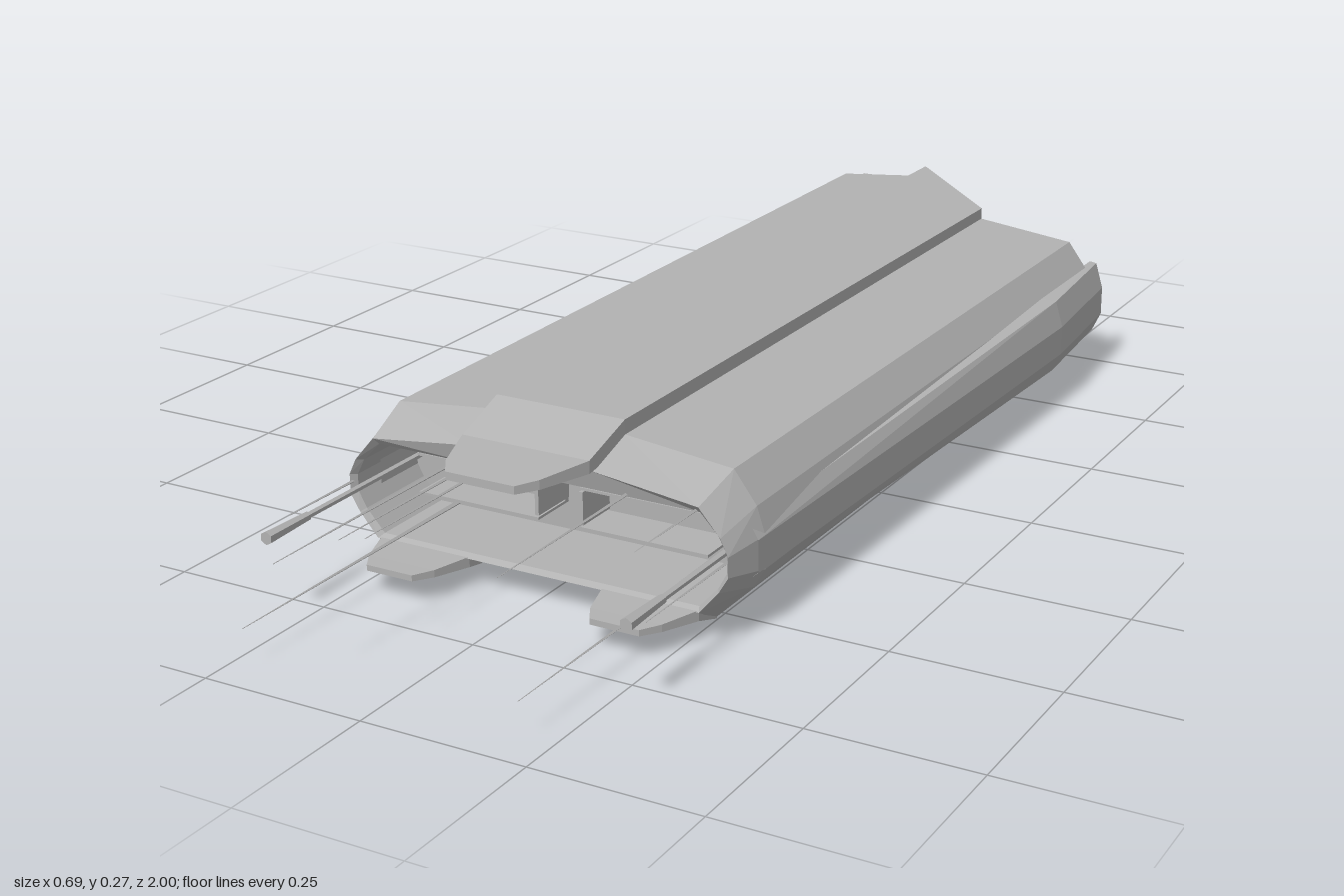
import * as THREE from 'three';

const grey = new THREE.MeshStandardMaterial({ color: 0xb2b2b2, side: THREE.DoubleSide, flatShading: true });
grey.name = 'hull grey';

// Joins cross-sections (lists of [x, y, z]) into a skin
function loft(sections, { closed = true, capStart = false, capEnd = false } = {}) {
  const pos = [];
  const n = sections[0].length;
  for (let s = 0; s < sections.length - 1; s++) {
    for (let i = 0; i < (closed ? n : n - 1); i++) {
      const j = (i + 1) % n;
      const a = sections[s][i], b = sections[s][j], c = sections[s + 1][j], d = sections[s + 1][i];
      pos.push(...a, ...d, ...c, ...a, ...c, ...b);
    }
  }
  const cap = (ring, flip) => {
    for (let i = 1; i < n - 1; i++) {
      pos.push(...ring[0], ...(flip ? ring[i + 1] : ring[i]), ...(flip ? ring[i] : ring[i + 1]));
    }
  };
  if (capStart) cap(sections[0], false);
  if (capEnd) cap(sections[sections.length - 1], true);
  const geo = new THREE.BufferGeometry();
  geo.setAttribute('position', new THREE.Float32BufferAttribute(pos, 3));
  geo.computeVertexNormals();
  return geo;
}

// Stern edge: long on the -x side, slanted under the spine, short on the +x side
const sternZ = (x) => THREE.MathUtils.lerp(-0.93, -0.7, THREE.MathUtils.clamp((x + 0.11) / 0.22, 0, 1));

// Full anticlockwise ring from the +x half, listed bottom to top
function ring(half, z) {
  const at = ([x, y]) => [x, y, typeof z === 'function' ? z(x) : z];
  return [...half.map(at), ...half.map(([x, y]) => at([-x, y])).reverse()];
}

export function createModel() {
  const model = new THREE.Group();
  const add = (name, geo, x = 0, y = 0, z = 0) => {
    const mesh = new THREE.Mesh(geo, grey);
    mesh.name = name;
    mesh.position.set(x, y, z);
    model.add(mesh);
    return mesh;
  };
  // Box given by its limits
  const box = (name, x0, x1, y0, y1, z0, z1) =>
    add(name, new THREE.BoxGeometry(x1 - x0, y1 - y0, z1 - z0), (x0 + x1) / 2, (y0 + y1) / 2, (z0 + z1) / 2);

  // Hull shell with chamfered bow and open stern
  const full = [[0.115, 0.018], [0.145, 0], [0.245, 0], [0.305, 0.06], [0.323, 0.09],
    [0.323, 0.14], [0.31, 0.18], [0.275, 0.227], [0.105, 0.245]];
  const bow = [[0.115, 0.045], [0.145, 0.045], [0.265, 0.045], [0.295, 0.08], [0.31, 0.105],
    [0.31, 0.135], [0.298, 0.16], [0.265, 0.198], [0.1, 0.218]];
  const mouth = [[0.115, 0.05], [0.145, 0.05], [0.26, 0.05], [0.29, 0.083], [0.303, 0.107],
    [0.303, 0.133], [0.29, 0.158], [0.262, 0.187], [0.1, 0.187]];
  add('hull', loft([ring(bow, 0.6), ring(full, 0.52), ring(full, sternZ)]));
  add('bowRecess', loft([ring(mouth, 0.45), ring(mouth, 0.59), ring(bow, 0.6)], { capStart: true }));

  // Raised spine with a drooping bow lip
  const spine = (w, y0, y1, z) => [[w, y0, z], [w, y1, z], [-w, y1, z], [-w, y0, z]];
  const spineStern = spine(0.105, 0.235, 0.264, 0).map(([x, y]) => [x, y, sternZ(x)]);
  add('spine', loft([
    spine(0.055, 0.218, 0.23, 0.72), spine(0.075, 0.218, 0.232, 0.69), spine(0.103, 0.218, 0.237, 0.61),
    spine(0.105, 0.23, 0.267, 0.52), spineStern,
  ], { capStart: true, capEnd: true }));

  // Lower bow lips
  for (const s of [-1, 1]) {
    const lip = (x0, x1, y0, y1, z) => [[s * x1, y0, z], [s * x1, y1, z], [s * x0, y1, z], [s * x0, y0, z]];
    add('lowerLip', loft([
      lip(0.145, 0.222, 0.036, 0.045, 0.685), lip(0.128, 0.24, 0.034, 0.045, 0.655),
      lip(0.11, 0.262, 0.03, 0.046, 0.595), lip(0.142, 0.248, 0, 0.046, 0.52),
    ], { capStart: true }));
  }

  // Side fairings, running past the hull at the stern
  for (const s of [-1, 1]) {
    const end = s < 0 ? -0.95 : -0.74;
    const pod = (x, z, k) => [[0.3, 0.065], [x - 0.015, 0.06 + k], [x, 0.092], [x, 0.14],
      [x - 0.013, 0.183 - k], [0.3, 0.185 - k]].map(([px, y]) => [s * px, y, z]);
    add('sideFairing', loft([pod(0.323, 0.54, 0.02), pod(0.345, -0.5, 0), pod(0.325, end, 0)], { capEnd: true }));
  }

  // Bow recess fittings
  for (const s of [-1, 1]) {
    const [x0, x1] = s > 0 ? [0.035, 0.24] : [-0.24, -0.035];
    box('hangarPanel', x0, x1, 0.095, 0.155, 0.45, 0.459);
    box('hangarFrameTop', x0, x1, 0.153, 0.157, 0.45, 0.53);
    box('hangarFrameBottom', x0, x1, 0.093, 0.097, 0.45, 0.53);
    const edge = s * 0.037;
    box('hangarFrameSide', edge - 0.003, edge + 0.003, 0.1, 0.15, 0.45, 0.53);
  }

  // Hexagonal gun barrels
  const rod = (name, x, y, z0, z1, rBase, rTip, sides = 6) => {
    const geo = new THREE.CylinderGeometry(rTip, rBase, z1 - z0, sides);
    geo.rotateX(Math.PI / 2);
    add(name, geo, x, y, (z0 + z1) / 2);
  };
  for (const x of [-0.285, 0.285]) {
    rod('barrel', x, 0.123, 0.45, 0.77, 0.005, 0.005);
    rod('barrelMuzzle', x, 0.123, 0.73, 0.82, 0.007, 0.01);
  }

  // Tapered bow antennas: x, y, tip z
  const antennas = [
    [-0.123, 0.19, 1], [-0.097, 0.19, 0.9], [-0.07, 0.19, 0.88], [0.148, 0.19, 0.9], [0.257, 0.19, 0.75],
    [-0.225, 0.056, 0.95], [0.207, 0.056, 0.95], [-0.308, 0.123, 0.74], [0.303, 0.123, 0.8],
  ];
  for (const [x, y, tip] of antennas) rod('antenna', x, y, 0.45, tip, 0.004, 0.0006, 4);

  // Stern bulkhead set inside the shell, following the slant
  const wall = [[-0.31, 0.065, 0.18], [-0.27, 0.03, 0.225], [-0.11, 0.02, 0.243],
    [0.11, 0.02, 0.243], [0.27, 0.03, 0.225], [0.31, 0.065, 0.18]];
  add('sternBulkhead', loft(wall.map(([x, y0, y1]) => [[x, y0, sternZ(x) + 0.15], [x, y1, sternZ(x) + 0.15]]),
    { closed: false }));

  // Stern engine blocks
  box('engineBlock', -0.27, -0.14, 0.04, 0.115, -1, -0.77);
  box('engineBlock', -0.27, -0.14, 0.135, 0.212, -1, -0.77);

  // Stacked stern decks
  const deck = (y, h, pts) => add('sternDeck', loft([
    pts.map(([x, z]) => [x, y, z]), pts.map(([x, z]) => [x, y + h, z]),
  ], { capStart: true, capEnd: true }));
  const middle = [[-0.14, -0.76], [-0.14, -0.965], [-0.08, -0.965], [-0.08, -0.935], [0.035, -0.92], [0.05, -0.86], [0.05, -0.6]];
  const short = [[-0.14, -0.76], [-0.14, -0.94], [0.035, -0.84], [0.05, -0.6]];
  const side = [[0.06, -0.55], [0.06, -0.765], [0.225, -0.78], [0.225, -0.55]];
  for (const y of [0.07, 0.165]) deck(y, 0.01, middle);
  for (const y of [0.095, 0.14, 0.19]) deck(y, 0.008, short);
  for (const y of [0.06, 0.1, 0.15]) deck(y, 0.012, side);
  box('sternHousing', 0.1, 0.21, 0.07, 0.16, -0.74, -0.55);

  // Shallow belly plate near the stern
  const belly = [[-0.14, -0.55], [0.14, -0.4], [0.14, -0.7], [0.11, -0.7], [-0.11, -0.93], [-0.14, -0.93]];
  add('bellyPlate', loft([
    belly.map(([x, z]) => [x, 0.006, z]), belly.map(([x, z]) => [x, 0.02, z]),
  ], { capStart: true, capEnd: true }));

  return model;
}
